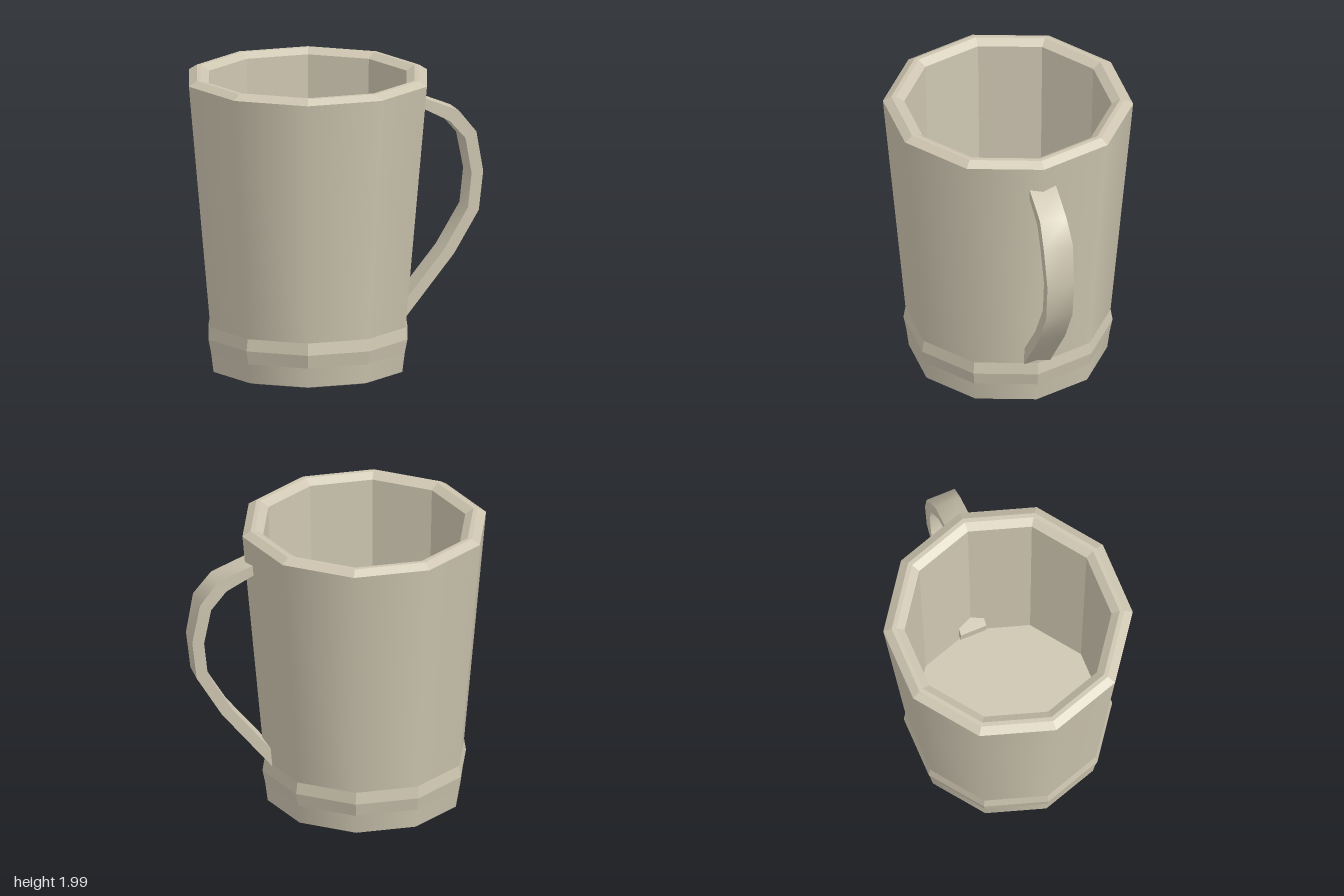
import * as THREE from 'three';

export function createModel() {
  const group = new THREE.Group();
  const clay = new THREE.MeshStandardMaterial({ color: 0xcdc5b0 });
  clay.name = 'clay';
  const cupX = -0.18;

  // Ten-sided ring of the cup from [radius, height] points
  function ring(name, points, flat) {
    const profile = points.map(([r, y]) => new THREE.Vector2(r, y));
    let geo = new THREE.LatheGeometry(profile, 10, Math.PI / 2);
    if (flat) {
      geo = geo.toNonIndexed();
      geo.computeVertexNormals();
    }
    const mesh = new THREE.Mesh(geo, clay);
    mesh.name = name;
    mesh.position.x = cupX;
    group.add(mesh);
  }

  // Cup, from the recessed base up the outside and down the inside
  ring('base', [[0, 0.05], [0.56, 0.05], [0.575, 0], [0.65, 0.02]], true);
  ring('foot', [[0.65, 0.02], [0.667, 0.15]], false);
  ring('band', [[0.667, 0.15], [0.685, 0.24], [0.672, 0.32]], true);
  ring('body', [[0.672, 0.32], [0.82, 1.95]], false);
  ring('rim', [[0.82, 1.95], [0.765, 1.985], [0.735, 1.985], [0.68, 1.95]], true);
  ring('innerWall', [[0.68, 1.95], [0.63, 0.2]], true);
  ring('floor', [[0.63, 0.2], [0, 0.2]], true);

  // Handle sections: outer x, outer y, inner x, inner y, half width
  const sections = [
    [0.54, 1.80, 0.53, 1.73, 0.09],
    [0.61, 1.77, 0.60, 1.70, 0.09],
    [0.83, 1.68, 0.77, 1.61, 0.09],
    [0.95, 1.53, 0.875, 1.49, 0.1],
    [1.0, 1.26, 0.92, 1.25, 0.09],
    [0.97, 1.0, 0.895, 1.02, 0.09],
    [0.80, 0.72, 0.73, 0.75, 0.09],
    [0.48, 0.33, 0.49, 0.46, 0.09],
    [0.40, 0.23, 0.39, 0.34, 0.09],
  ];
  const midZ = -0.005;
  const corners = sections.map(([ox, oy, ix, iy, w]) => [
    [ox, oy, midZ + w], [ix, iy, midZ + w], [ix, iy, midZ - w], [ox, oy, midZ - w],
  ]);
  const handle = new THREE.Group();
  handle.name = 'handle';
  group.add(handle);

  function addHandlePart(name, positions, index) {
    const geo = new THREE.BufferGeometry();
    geo.setAttribute('position', new THREE.Float32BufferAttribute(positions.flat(), 3));
    geo.setIndex(index);
    geo.computeVertexNormals();
    const mesh = new THREE.Mesh(geo, clay);
    mesh.name = name;
    handle.add(mesh);
  }

  // Four strips, smooth along the handle and sharp between sides
  ['handleFront', 'handleInside', 'handleBack', 'handleOutside'].forEach((name, c) => {
    const positions = [];
    const index = [];
    corners.forEach((sec, s) => {
      positions.push(sec[c], sec[(c + 1) % 4]);
      if (s > 0) {
        const a = 2 * (s - 1);
        index.push(a, a + 1, a + 3, a, a + 3, a + 2);
      }
    });
    addHandlePart(name, positions, index);
  });
  addHandlePart('handleEnd', corners[corners.length - 1], [0, 1, 2, 0, 2, 3]);

  return group;
}
